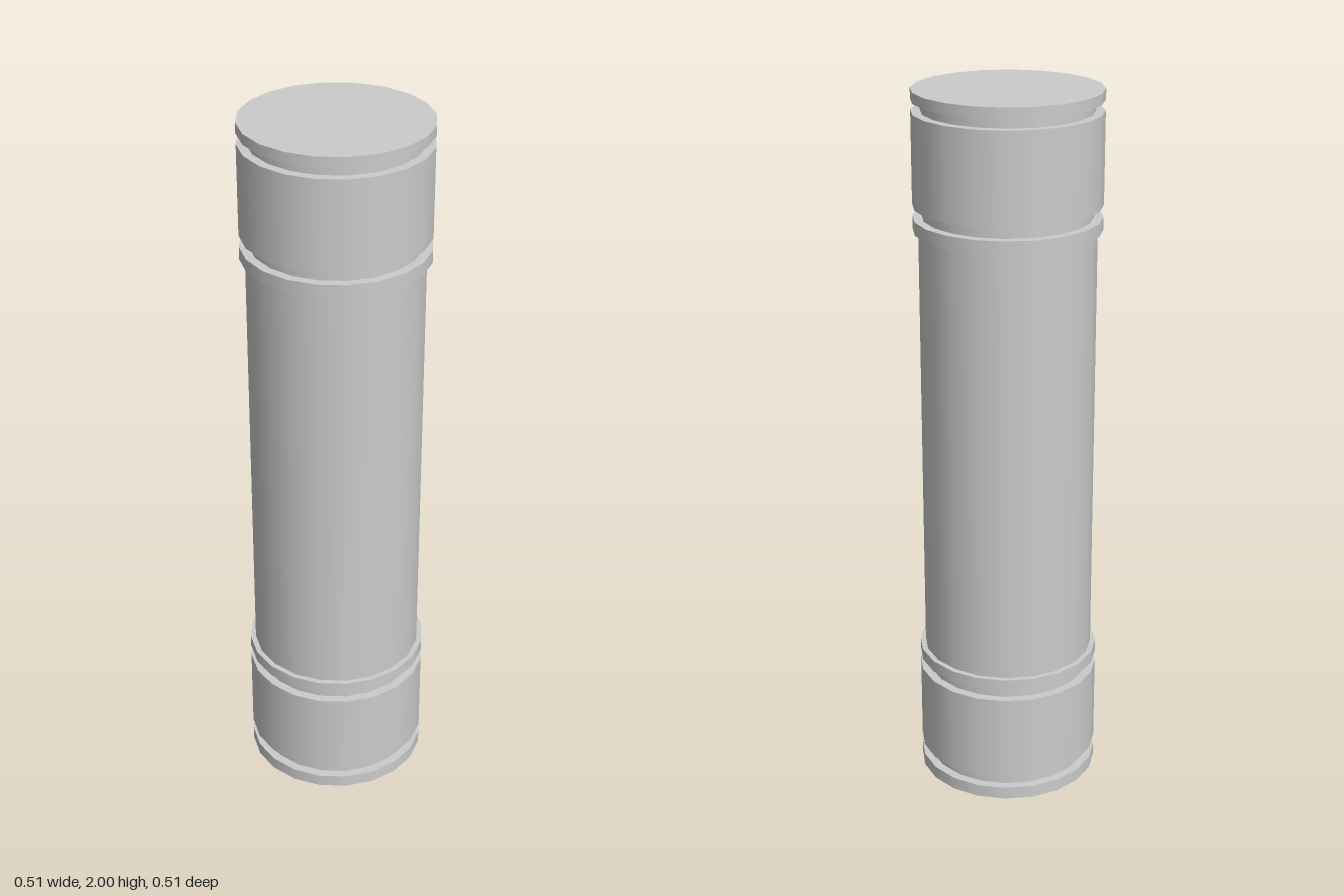
import * as THREE from 'three';

const SIDES = 20;

export function createModel() {
  const group = new THREE.Group();
  const material = new THREE.MeshStandardMaterial({ color: 0xcccccc });

  // Capped cylinder between two heights
  const drum = (name, radius, y0, y1) => {
    const mesh = new THREE.Mesh(new THREE.CylinderGeometry(radius, radius, y1 - y0, SIDES), material);
    mesh.position.y = (y0 + y1) / 2;
    mesh.name = name;
    group.add(mesh);
  };

  // Long middle tube
  drum('tube', 0.241, 0.385, 1.62);

  // Each end: rim disc, broad collar and inner ring, joined by recessed necks
  const ends = [
    ['lower', [0, 0.036, 0.069, 0.321, 0.353, 0.387]],
    ['upper', [1.622, 1.658, 1.69, 1.942, 1.971, 2]],
  ];
  for (const [side, y] of ends) {
    const [first, last] = side === 'lower' ? ['Rim', 'Ring'] : ['Ring', 'Rim'];
    drum(side + first, 0.256, y[0], y[1]);
    drum(side + 'NeckBelowCollar', 0.231, y[1], y[2]);
    drum(side + 'Collar', 0.256, y[2], y[3]);
    drum(side + 'NeckAboveCollar', 0.231, y[3], y[4]);
    drum(side + last, 0.256, y[4], y[5]);
  }

  return group;
}
